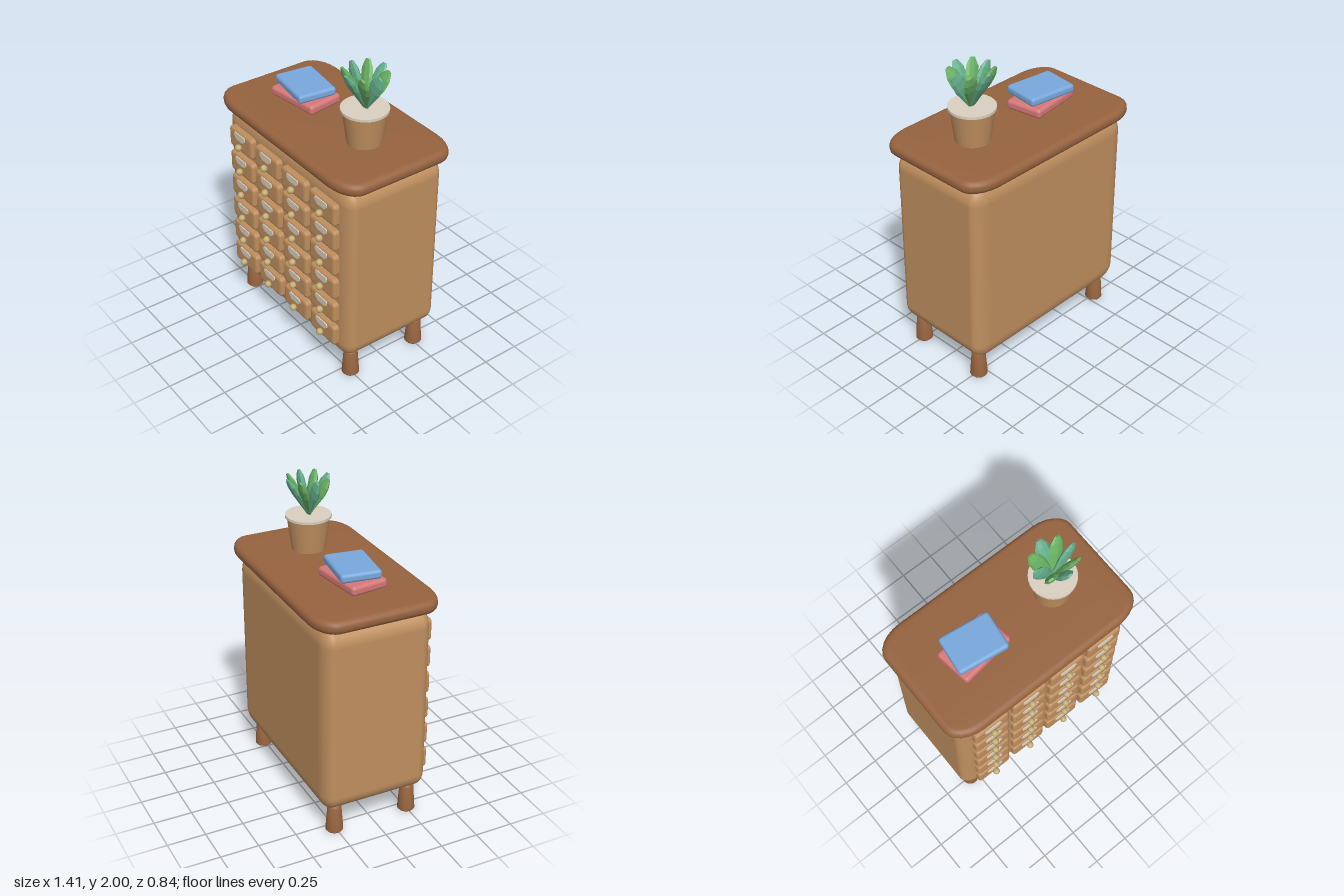
import * as THREE from 'three';
import { RoundedBoxGeometry } from 'three/addons/geometries/RoundedBoxGeometry.js';
import { toCreasedNormals } from 'three/addons/utils/BufferGeometryUtils.js';

function material(name, color, flatShading = false) {
  const m = new THREE.MeshStandardMaterial({ color, flatShading });
  m.name = name;
  return m;
}

// Box with elliptical rounding: r = [rx, ry, rz]
function softBox(w, h, d, r, segments = 4) {
  return new RoundedBoxGeometry(w / r[0], h / r[1], d / r[2], segments, 1).scale(...r);
}

function lathe(points, sides) {
  return new THREE.LatheGeometry(points.map(p => new THREE.Vector2(...p)), sides);
}

export function createModel() {
  const lightWood = material('lightWood', 0xbf8f5f);
  const darkWood = material('darkWood', 0x96633f);
  const cream = material('cream', 0xdad0c0);
  const brass = material('brass', 0xc2ac74);
  const rose = material('rose', 0xd67878);
  const blue = material('blue', 0x78a8dc);
  const teal = material('tealLeaf', 0x66b08c, true);
  const green = material('greenLeaf', 0x68b062, true);

  const model = new THREE.Group();
  const add = (name, geometry, mat, x, y, z, parent = model) => {
    const mesh = new THREE.Mesh(geometry, mat);
    mesh.name = name;
    mesh.position.set(x, y, z);
    parent.add(mesh);
    return mesh;
  };

  // Cabinet body
  add('cabinetBody', softBox(1.3, 1.245, 0.71, [0.11, 0.11, 0.07], 5), lightWood, 0, 0.813, -0.008);

  // Tabletop: rounded outline with a full round edge
  const W = 0.705, D = 0.41, rx = 0.2, rz = 0.13, b = 0.038, h = 0.082;
  const outline = new THREE.Shape();
  [[1, 1, 0], [-1, 1, 1], [-1, -1, 2], [1, -1, 3]].forEach(([sx, sz, q]) => {
    for (let i = 0; i <= 6; i++) {
      const a = (q + i / 6) * Math.PI / 2;
      const x = sx * (W - rx) + rx * Math.cos(a), y = sz * (D - rz) + rz * Math.sin(a);
      if (q + i === 0) outline.moveTo(x, y);
      else outline.lineTo(x, y);
    }
  });
  outline.closePath();
  const topGeometry = new THREE.ExtrudeGeometry(outline, {
    depth: h - 2 * b, bevelThickness: b, bevelSize: b, bevelOffset: -b, bevelSegments: 5,
  }).rotateX(-Math.PI / 2);
  add('tabletop', toCreasedNormals(topGeometry, 0.8), darkWood, 0, 1.441 + b, -0.008);

  // Tapered legs
  const legGeometry = toCreasedNormals(
    lathe([[0, 0.005], [0.048, 0.005], [0.056, 0.014], [0.044, 0.18], [0.038, 0.192], [0, 0.21]], 20), 0.7);
  for (const x of [-0.552, 0.552]) {
    for (const z of [0.25, -0.26]) add('leg', legGeometry, darkWood, x, 0, z);
  }

  // Drawers, each with a label plate and a knob
  const drawerGeometry = softBox(0.256, 0.146, 0.08, [0.026, 0.026, 0.016], 3);
  const labelShape = new THREE.Shape([
    [-0.052, 0.022], [0.052, 0.022], [0.06, 0.014], [0.06, -0.002], [0.052, -0.008],
    [0.036, -0.024], [-0.036, -0.024], [-0.052, -0.008], [-0.06, -0.002], [-0.06, 0.014],
  ].map(p => new THREE.Vector2(...p)));
  const labelGeometry = new THREE.ExtrudeGeometry(labelShape, { depth: 0.009, bevelEnabled: false });
  const knobGeometry = new THREE.SphereGeometry(0.023, 16, 12);
  for (let row = 0; row < 6; row++) {
    for (let col = 0; col < 4; col++) {
      const drawer = new THREE.Group();
      drawer.name = 'drawer';
      drawer.position.set(-0.436 + col * 0.289, 1.262 - row * 0.181, 0.346);
      add('drawerFront', drawerGeometry, lightWood, 0, 0, 0, drawer);
      add('labelPlate', labelGeometry, cream, 0, 0.036, 0.036, drawer);
      add('knob', knobGeometry, brass, 0, -0.031, 0.055, drawer);
      model.add(drawer);
    }
  }

  // Two stacked books
  add('lowerBook', softBox(0.375, 0.062, 0.25, [0.022, 0.022, 0.022], 3), rose, -0.266, 1.564, 0.0)
    .rotation.y = 0.135;
  add('upperBook', softBox(0.335, 0.056, 0.255, [0.02, 0.02, 0.02], 3), blue, -0.266, 1.632, 0.0)
    .rotation.y = -0.13;

  // Potted plant
  const plant = new THREE.Group();
  plant.name = 'pottedPlant';
  plant.position.set(0.324, 0, -0.006);
  model.add(plant);
  add('pot', new THREE.CylinderGeometry(0.136, 0.108, 0.215, 24), lightWood, 0, 1.6275, 0, plant);
  add('potRim', new THREE.CylinderGeometry(0.146, 0.146, 0.017, 28), cream, 0, 1.742, 0, plant);

  // Leaves: flat faceted blades leaning outwards in a ring
  const leafGeometry = lathe(
    [[0, 0], [0.022, 0], [0.03, 0.06], [0.05, 0.17], [0.045, 0.23], [0.018, 0.278], [0, 0.278]], 8)
    .scale(1, 1, 0.42);
  for (let i = 0; i < 8; i++) {
    const a = i * Math.PI / 4, tilt = 0.52;
    const leaf = add('leaf', leafGeometry, i % 2 ? green : teal, 0, 1.752, 0, plant);
    leaf.rotation.set(Math.cos(a) * tilt, 0, -Math.sin(a) * tilt);
  }
  return model;
}
